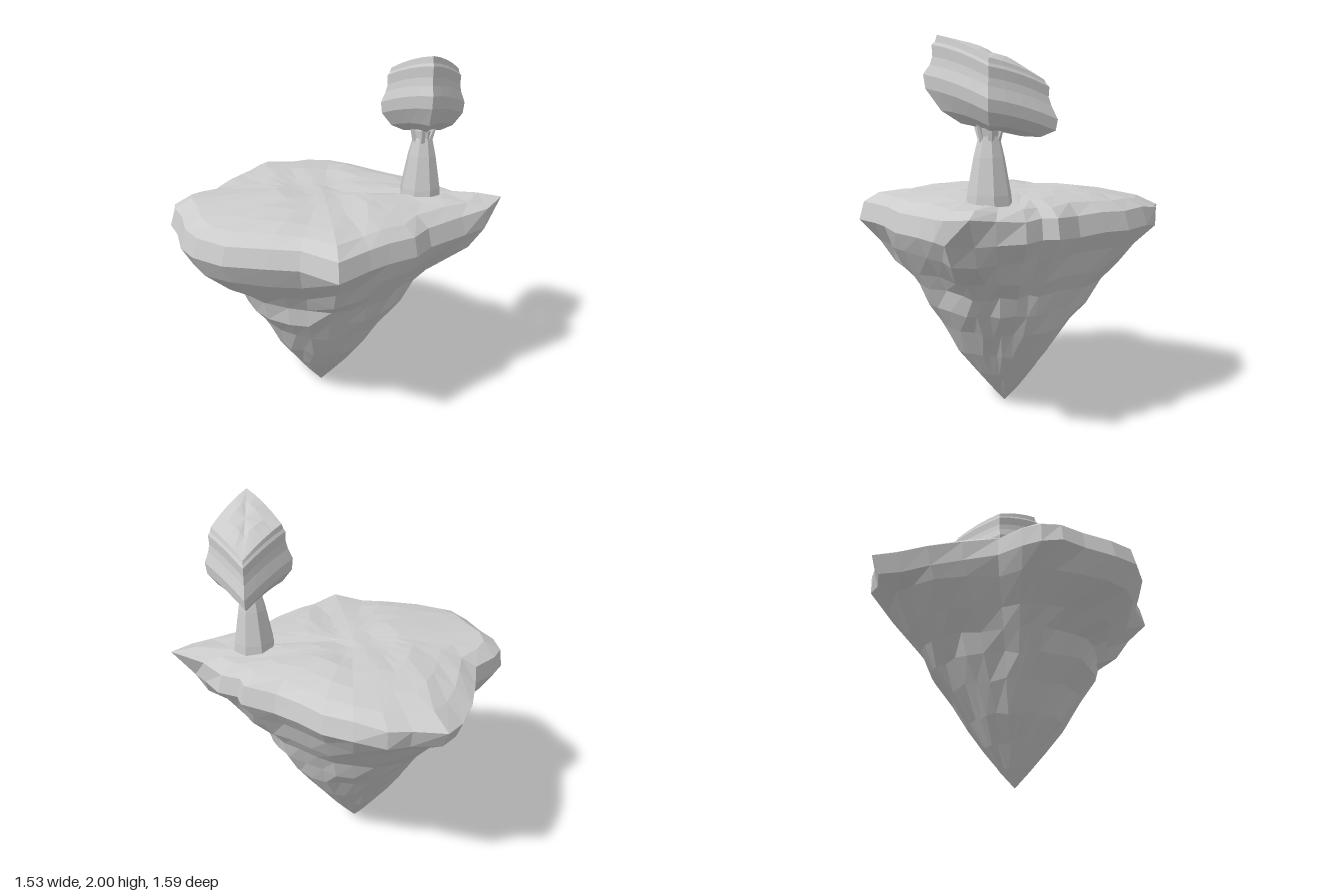
import * as THREE from 'three';

const material = new THREE.MeshStandardMaterial({ color: 0xcccccc, flatShading: true, side: THREE.DoubleSide });
const { lerp, smoothstep } = THREE.MathUtils;

// Repeatable noise in -1..1 for a pair of indices.
function jitter(i, j) {
  const s = Math.sin(i * 127.1 + j * 311.7) * 43758.5453;
  return (s - Math.floor(s)) * 2 - 1;
}

// Skin a stack of closed rings, bottom to top, closing each end on a point.
function loft(name, rings, bottom, top) {
  const n = rings[0].length;
  const points = [bottom, ...rings.flat(), top];
  const last = points.length - 1;
  const at = (r, i) => 1 + r * n + (i % n);
  const index = [];
  for (let i = 0; i < n; i++) {
    index.push(0, at(0, i + 1), at(0, i));
    for (let r = 0; r < rings.length - 1; r++) {
      const a = at(r, i), b = at(r, i + 1), c = at(r + 1, i + 1), d = at(r + 1, i);
      index.push(a, b, c, a, c, d);
    }
    index.push(last, at(rings.length - 1, i), at(rings.length - 1, i + 1));
  }
  const geometry = new THREE.BufferGeometry().setFromPoints(points);
  geometry.setIndex(index);
  const flat = geometry.toNonIndexed();
  flat.computeVertexNormals();
  const mesh = new THREE.Mesh(flat, material);
  mesh.name = name;
  return mesh;
}

// Floating rock: a round point at the bottom that opens into an uneven rim.
function makeIsland() {
  const centre = 0.06;
  const outline = [
    [0.37, -0.81], [0.22, -0.79], [0.06, -0.74], [-0.1, -0.66], [-0.26, -0.57], [-0.42, -0.585], [-0.52, -0.565],
    [-0.59, -0.48], [-0.64, -0.35], [-0.73, -0.2], [-0.77, -0.05], [-0.72, 0.12], [-0.6, 0.32], [-0.51, 0.46],
    [-0.465, 0.68], [-0.25, 0.69], [-0.12, 0.705], [0.06, 0.735], [0.22, 0.7], [0.45, 0.75], [0.61, 0.8],
    [0.765, 0.755], [0.72, 0.58], [0.74, 0.42], [0.71, 0.3], [0.75, 0.23], [0.69, 0.05], [0.69, -0.12],
    [0.69, -0.28], [0.65, -0.45], [0.58, -0.61], [0.48, -0.68],
  ];
  // rock below the rim: height, round radius, share of the outline, outline scale
  const rock = [
    [0.09, 0.08, 0, 1], [0.2, 0.165, 0, 1], [0.33, 0.265, 0, 1], [0.48, 0.36, 0.1, 0.48], [0.6, 0.44, 0.3, 0.58],
    [0.71, 0.49, 0.45, 0.66], [0.8, 0.55, 0.65, 0.75], [0.92, 0.66, 0.9, 0.89],
  ];
  const rockRings = rock.map(([y, round, share, scale], j) => outline.map(([x, z], i) => {
    const dx = x - centre, dz = z - centre, reach = Math.hypot(dx, dz);
    const k = lerp(round, Math.min(reach, 0.9) * scale, share) * (1 + 0.045 * jitter(i >> 1, j)) / reach;
    return new THREE.Vector3(centre + dx * k, y + (j > 1 ? 0.012 * jitter(i, j + 40) : 0), centre + dz * k);
  }));
  // rim and ground: height, outline scale, change of scale at the front left corner and at the back
  const ground = [
    [1.03, 1, -0.12, -0.05], [1.13, 0.965, 0.035, 0.035], [1.18, 0.86, 0, 0], [1.205, 0.69, 0, 0],
    [1.215, 0.48, 0, 0], [1.215, 0.3, 0, 0], [1.215, 0.13, 0, 0],
  ];
  const groundRings = ground.map(([y, scale, cornerScale, backScale]) => outline.map(([x, z]) => {
    const corner = Math.exp(-((x - 0.76) ** 2 + (z - 0.75) ** 2) / 0.02);
    const back = smoothstep(-z, 0.45, 0.8);
    const k = scale + corner * cornerScale + back * backScale;
    const px = centre + (x - centre) * k, pz = centre + (z - centre) * k;
    const bump = 0.01 * Math.sin(9 * px + 3.6) * Math.cos(8 * pz) + 0.005 * Math.sin(23 * px + 17 * pz);
    const rise = y > 1.1 ? corner * 0.85 : 0;
    return new THREE.Vector3(px, lerp(y, 1.2, rise) - 0.05 * back * k * k + bump, pz);
  }));
  return loft('island', [...rockRings, ...groundRings],
    new THREE.Vector3(centre, 0, centre), new THREE.Vector3(centre, 1.215, centre));
}

// Tapered trunk with short forked branches at the top.
function makeTrunk() {
  const group = new THREE.Group();
  group.name = 'trunk';
  const cx = 0.45, cz = 0.43;
  const rings = [[1.17, 0.117], [1.24, 0.11], [1.42, 0.077], [1.52, 0.052], [1.56, 0.056]].map(([y, r]) =>
    Array.from({ length: 8 }, (_, i) => {
      const a = (i + 0.5) * Math.PI / 4;
      return new THREE.Vector3(cx + r * Math.cos(a), y, cz - r * Math.sin(a));
    }));
  group.add(loft('trunkStem', rings, new THREE.Vector3(cx, 1.17, cz), new THREE.Vector3(cx, 1.56, cz)));
  for (let i = 0; i < 6; i++) {
    const a = i * Math.PI / 3 + 0.4;
    const lean = new THREE.Vector3(Math.cos(a) * 0.4, 1, Math.sin(a) * 0.4).normalize();
    const branch = new THREE.Mesh(new THREE.CylinderGeometry(0.004, 0.02, 0.12, 5), material);
    branch.name = 'branch';
    branch.quaternion.setFromUnitVectors(new THREE.Vector3(0, 1, 0), lean);
    branch.position.set(cx + Math.cos(a) * 0.06, 1.55, cz + Math.sin(a) * 0.06);
    group.add(branch);
  }
  return group;
}

// Leaning four-cornered crown with stepped sides.
function makeCrown() {
  const cx = 0.46, cz = 0.42, segments = 4;
  const corners = [[-0.24, 0.235], [0.17, 0.14], [0.235, -0.215], [-0.155, -0.17]];
  // height, scale, slope
  const levels = [
    [1.55, 0.45, 0.14], [1.578, 0.74, 0.18], [1.645, 0.97, 0.22], [1.705, 1, 0.23], [1.76, 0.9, 0.23],
    [1.8, 0.86, 0.24], [1.85, 0.87, 0.25], [1.865, 0.82, 0.26], [1.89, 0.79, 0.29], [1.91, 0.4, 0.28],
  ];
  const rings = levels.map(([y, scale, slope]) => corners.flatMap(([x0, z0], c) => {
    const [x1, z1] = corners[(c + 1) % 4];
    return Array.from({ length: segments }, (_, s) => {
      const t = s / segments, bow = 1 + 0.06 * t * (1 - t);
      const x = lerp(x0, x1, t) * scale * bow, z = lerp(z0, z1, t) * scale * bow;
      return new THREE.Vector3(cx + x, y - slope * (x - z) + 0.05 * t * (1 - t), cz + z);
    });
  }));
  return loft('crown', rings, new THREE.Vector3(cx, 1.55, cz), new THREE.Vector3(cx, 1.915, cz));
}

export function createModel() {
  const model = new THREE.Group();
  model.name = 'floatingIsland';
  model.add(makeIsland(), makeTrunk(), makeCrown());
  return model;
}
